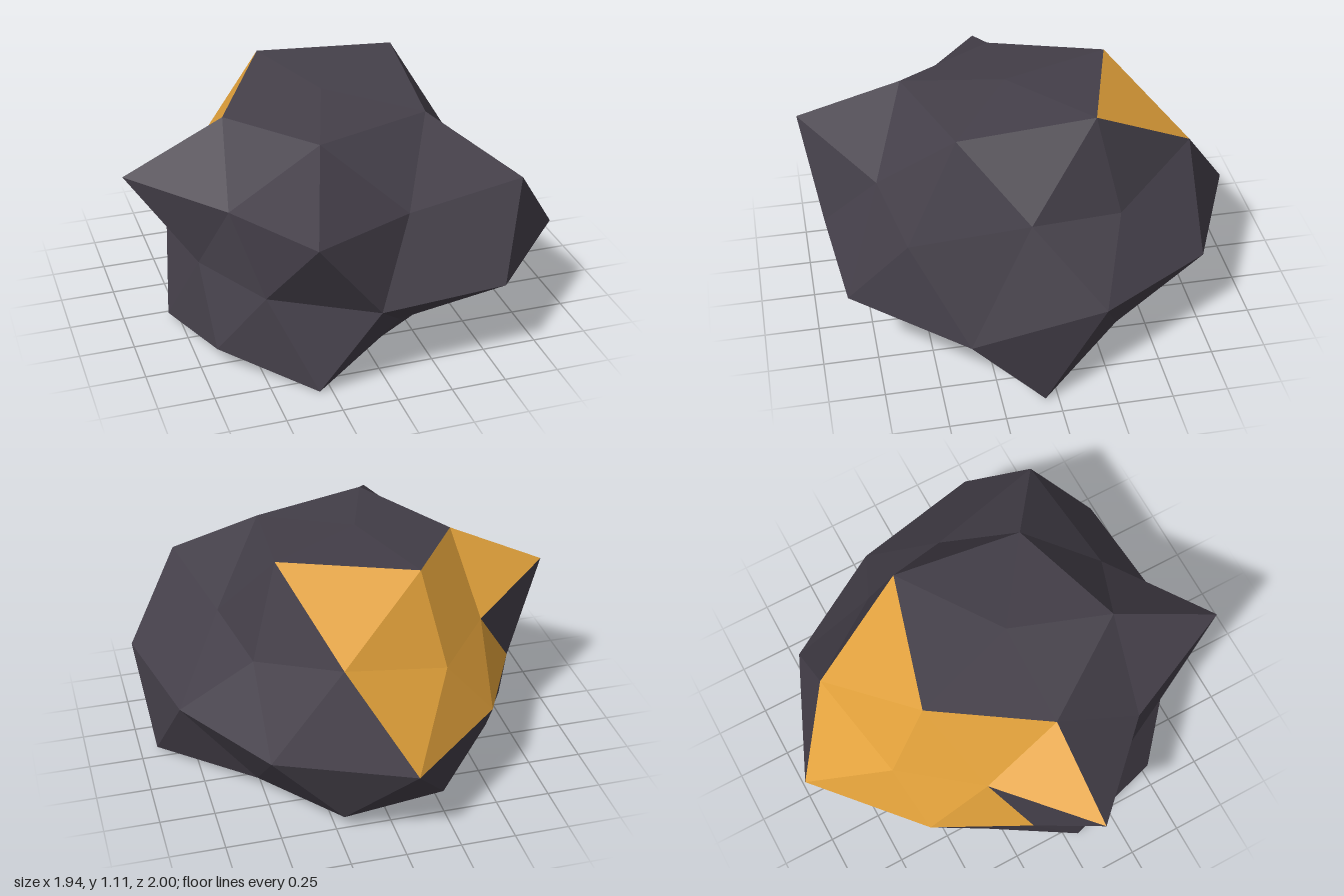
import * as THREE from 'three';

const CENTRE = new THREE.Vector3(-0.05, 0.4, 0.06);
const SQUASH = 0.8;

// Ring of points on a subdivided icosahedron, each pushed out to its own radius
function ring(height, startDeg, radii) {
  const h = Math.sqrt(1 - height * height);
  return radii.map((r, i) => {
    const a = THREE.MathUtils.degToRad(startDeg + (i * 360) / radii.length);
    return new THREE.Vector3(
      CENTRE.x + r * h * Math.cos(a),
      Math.max(0, CENTRE.y + r * height * SQUASH), // flat underside
      CENTRE.z + r * h * Math.sin(a)
    );
  });
}

// Faceted mesh whose triangles all face away from the centre
function facetMesh(name, faces, material) {
  const points = [];
  for (const [a, b, c] of faces) {
    const normal = b.clone().sub(a).cross(c.clone().sub(a));
    const outward = a.clone().add(b).add(c).divideScalar(3).sub(CENTRE);
    points.push(...(normal.dot(outward) > 0 ? [a, b, c] : [a, c, b]));
  }
  const geometry = new THREE.BufferGeometry().setFromPoints(points);
  geometry.computeVertexNormals();
  const mesh = new THREE.Mesh(geometry, material);
  mesh.name = name;
  return mesh;
}

export function createModel() {
  const stone = new THREE.MeshStandardMaterial({ color: 0x443f49, flatShading: true });
  stone.name = 'darkStone';
  const amber = new THREE.MeshStandardMaterial({ color: 0xe0a03a, flatShading: true });
  amber.name = 'amberOre';

  // Rings from the crown to the base
  const [T] = ring(1, 0, [0.84]);
  const A = ring(0.851, 180, [0.875, 0.995, 1.046, 0.925, 0.92]);
  const U = ring(0.447, 180, [1.03, 0.824, 0.79, 1.05, 1.1]);
  const M = ring(0.526, 216, [0.724, 0.996, 0.764, 0.77, 0.785]);
  const E = ring(0, 162, [0.673, 0.725, 0.8, 1.06, 0.995, 0.937, 1.07, 1.0, 0.86, 0.745]);
  const L = ring(-0.447, 216, [0.745, 0.953, 1.085, 0.67, 0.866]);
  const N = ring(-0.526, 180, [0.88, 0.875, 0.83, 0.7, 0.965]);
  const B = ring(-0.851, 216, [0.9, 1.08, 0.95, 0.9, 0.9]);
  const [P] = ring(-1, 0, [0.9]);

  const stoneFaces = [];
  const amberFaces = [];
  for (let k = 0; k < 5; k++) {
    const n = (k + 1) % 5, p = (k + 4) % 5;
    const e0 = E[2 * k], e1 = E[2 * k + 1], e2 = E[(2 * k + 2) % 10];
    // Upper half
    stoneFaces.push([T, A[k], A[n]]);
    (k < 2 ? amberFaces : stoneFaces).push([A[k], M[k], A[n]], [A[k], U[k], M[k]]);
    (k === 1 ? amberFaces : stoneFaces).push(
      [A[k], M[p], U[k]], [U[k], e0, e1], [U[k], e1, M[k]], [M[p], e0, U[k]]
    );
    (k === 0 ? amberFaces : stoneFaces).push([M[k], e1, e2]);
    // Lower half
    stoneFaces.push(
      [N[k], e0, e1], [L[k], e1, e2], [N[k], e1, L[k]], [L[k], e2, N[n]],
      [N[k], L[k], B[k]], [L[k], N[n], B[k]], [N[k], B[p], B[k]], [B[k], B[n], P]
    );
  }

  const group = new THREE.Group();
  group.name = 'oreRock';
  group.add(facetMesh('rockBody', stoneFaces, stone), facetMesh('orePatch', amberFaces, amber));
  return group;
}
